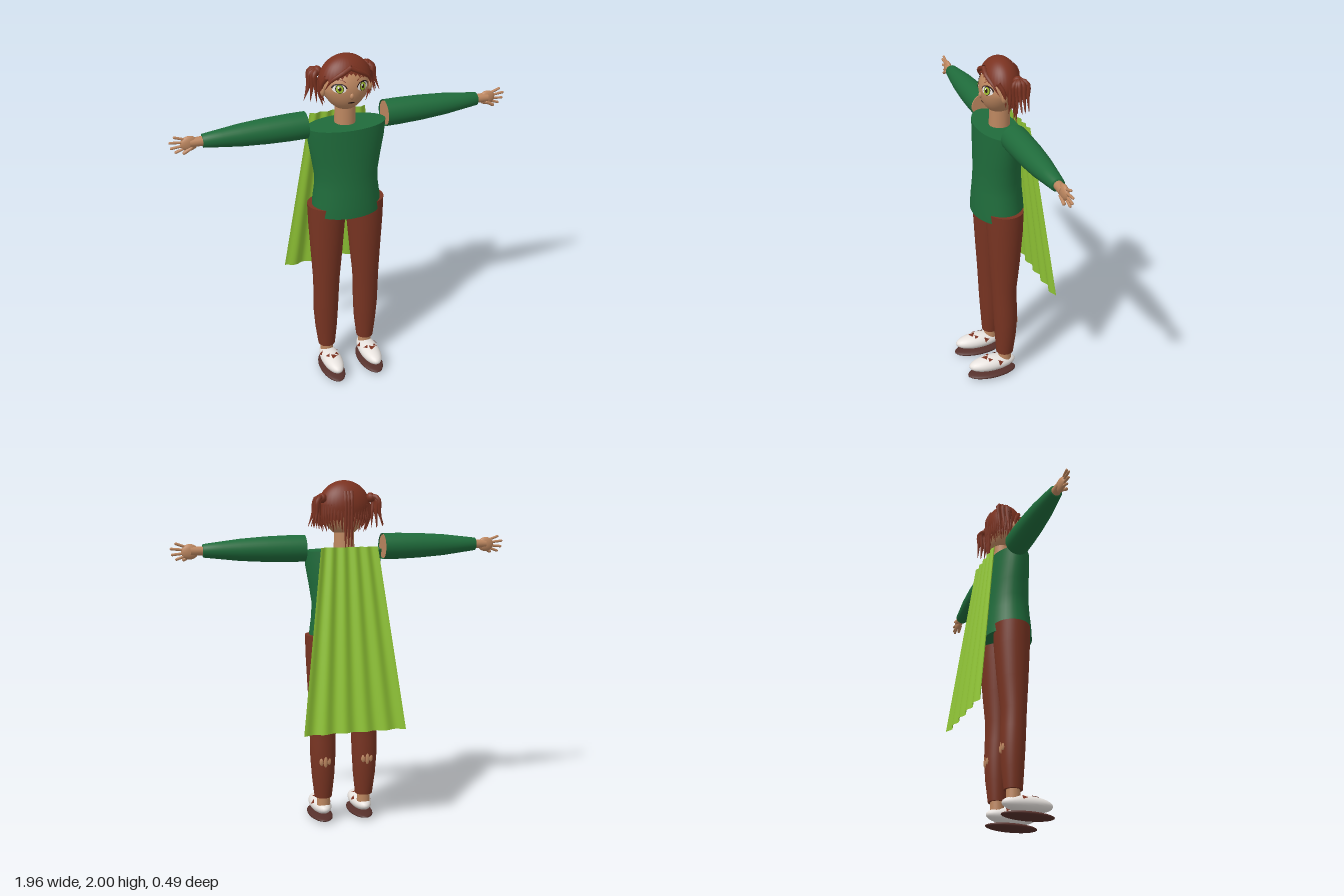
import * as THREE from 'three';

const mat = (name, color, side = THREE.FrontSide) => {
  const m = new THREE.MeshStandardMaterial({ color, side });
  m.name = name;
  return m;
};

export function createModel() {
  const model = new THREE.Group();
  model.name = 'capedFigure';
  const D = THREE.DoubleSide;
  const skin = mat('skin', 0xbd8760), green = mat('shirt green', 0x1f6b3b, D);
  const brown = mat('trouser brown', 0x783422), hairMat = mat('hair auburn', 0x7a3220, D);
  const lime = mat('cape lime', 0x8fc435, D), white = mat('shoe white', 0xe8e3df, D);
  const soleMat = mat('sole brown', 0x55302b), iris = mat('iris green', 0x9dbb2e, D);
  const dark = mat('dark lines', 0x2c1714, D);

  const add = (name, geo, material, x = 0, y = 0, z = 0) => {
    const m = new THREE.Mesh(geo, material);
    m.name = name;
    m.position.set(x, y, z);
    model.add(m);
    return m;
  };
  const ball = (name, material, [x, y, z], [a, b, c], seg = 28) =>
    add(name, new THREE.SphereGeometry(1, seg, Math.ceil(seg * 0.6)).scale(a, b, c), material, x, y, z);

  // Closed body of stacked ellipses; rings run upwards: [y, cx, rx, zBack, zFront]
  const loft = (rings, seg = 40) => {
    const pos = [], idx = [], n = rings.length;
    for (const [y, cx, rx, z0, z1] of rings)
      for (let i = 0; i < seg; i++) {
        const t = (i / seg) * Math.PI * 2;
        pos.push(cx + rx * Math.sin(t), y, (z0 + z1) / 2 + ((z1 - z0) / 2) * Math.cos(t));
      }
    for (let r = 0; r < n - 1; r++)
      for (let i = 0; i < seg; i++) {
        const a = r * seg + i, b = r * seg + (i + 1) % seg;
        idx.push(a, b, b + seg, a, b + seg, a + seg);
      }
    // caps have their own corners so that the rims stay sharp
    for (const r of [0, n - 1]) {
      const start = pos.length / 3;
      for (let i = 0; i < seg * 3; i++) pos.push(pos[r * seg * 3 + i]);
      for (let i = 1; i < seg - 1; i++)
        r ? idx.push(start, start + i, start + i + 1) : idx.push(start, start + i + 1, start + i);
    }
    const g = new THREE.BufferGeometry();
    g.setAttribute('position', new THREE.Float32BufferAttribute(pos, 3));
    g.setIndex(idx);
    g.computeVertexNormals();
    return g;
  };

  // Tapered lock of hair along a curve
  const lock = (name, pts, r) => {
    const curve = new THREE.CatmullRomCurve3(pts.map(p => new THREE.Vector3(...p)));
    const n = 10, radial = 6, g = new THREE.TubeGeometry(curve, n, r, radial);
    const p = g.attributes.position, v = new THREE.Vector3();
    for (let i = 0; i <= n; i++) {
      const c = curve.getPointAt(i / n), k = 1 - 0.95 * (i / n) ** 2;
      for (let j = 0; j <= radial; j++) {
        const id = i * (radial + 1) + j;
        v.fromBufferAttribute(p, id).sub(c).multiplyScalar(k).add(c);
        p.setXYZ(id, v.x, v.y, v.z);
      }
    }
    return add(name, g, hairMat);
  };

  // Shirt
  add('shirt', loft([[1.08, 0, 0.205, -0.135, 0.157], [1.16, 0, 0.198, -0.13, 0.154],
    [1.24, 0, 0.187, -0.122, 0.146], [1.32, 0, 0.186, -0.117, 0.14], [1.42, 0, 0.202, -0.112, 0.137],
    [1.52, 0, 0.22, -0.107, 0.136], [1.61, 0, 0.228, -0.1, 0.134]]), green);
  add('neck', new THREE.CylinderGeometry(0.057, 0.059, 0.14, 28), skin, 0, 1.66, -0.005);

  // Head, narrowing to the chin
  const HY = 1.82, HX = 0.132, HH = 0.132, HZ = 0.106;
  const jaw = y => 1 - 0.22 * Math.max(0, (HY - y) / HH);
  const head = new THREE.SphereGeometry(1, 48, 32).scale(HX, HH, HZ).translate(0, HY, 0);
  const hp = head.attributes.position;
  for (let i = 0; i < hp.count; i++) hp.setX(i, hp.getX(i) * jaw(hp.getY(i)));
  head.computeVertexNormals();
  add('head', head, skin);
  const faceZ = (x, y) =>
    HZ * Math.sqrt(Math.max(0, 1 - (x / HX / jaw(y)) ** 2 - ((y - HY) / HH) ** 2));

  // Thin face detail laid on the head surface
  const decal = (name, material, x, y, rx, ry, lift, inner = 0, start = 0, len = Math.PI * 2) => {
    const g = new THREE.RingGeometry(inner, 1, 28, 4, start, len).scale(rx, ry, 1).translate(x, y, 0);
    const p = g.attributes.position;
    for (let i = 0; i < p.count; i++) p.setZ(i, faceZ(p.getX(i), p.getY(i)) + lift);
    g.computeVertexNormals();
    add(name, g, material);
  };
  ball('nose', skin, [0, 1.797, 0.103], [0.012, 0.017, 0.012], 14);
  decal('mouth', dark, 0, 1.757, 0.02, 0.005, 0.002);
  for (const s of [1, -1]) {
    const x = 0.066 * s;
    decal('eyeWhite', white, x, 1.843, 0.035, 0.024, 0.002);
    decal('irisRim', dark, x, 1.843, 0.021, 0.025, 0.003);
    decal('iris', iris, x, 1.842, 0.018, 0.022, 0.004);
    decal('pupil', dark, x, 1.843, 0.008, 0.011, 0.005);
    decal('eyeGlint', white, x - 0.006, 1.852, 0.005, 0.006, 0.006);
    decal('lashes', dark, x, 1.841, 0.04, 0.031, 0.0045, 0.83, 0.15, Math.PI - 0.3);
    decal('eyebrow', hairMat, x, 1.862, 0.04, 0.03, 0.003, 0.9, 0.5, Math.PI - 1);
    ball('ear', skin, [0.136 * s, 1.815, 0.018], [0.014, 0.03, 0.018], 14);
  }

  // Hair cap: short over the brow, long round the back, with a ragged hem
  const seg = 72, rows = 20, cap = new THREE.PlaneGeometry(1, 1, seg, rows), cp = cap.attributes.position;
  for (let r = 0; r <= rows; r++)
    for (let i = 0; i <= seg; i++) {
      const a = (i / seg) * Math.PI * 2, c = Math.cos(a);
      const back = THREE.MathUtils.smoothstep(-c, -0.42, 0.1);
      const hem = 1.912 - 0.05 * Math.abs(Math.sin(a)) - back * 0.11 + (i % 2 ? 0.014 : 0);
      const th = (r / rows) * Math.PI / 2, total = (2 - hem) / 0.15;
      // rows follow the dome, then hang nearly straight down
      const drop = (1 - Math.cos(th)) * total, d = Math.min(drop, 1);
      const w = Math.sqrt(1 - (1 - d) ** 2) * (1 - 0.12 * Math.max(0, drop - 1));
      cp.setXYZ(r * (seg + 1) + i, 0.15 * w * Math.sin(a), 2 - 0.15 * drop, -0.005 + 0.108 * w * c);
    }
  cap.computeVertexNormals();
  add('hairCap', cap, hairMat);
  for (let i = 0; i < 23; i++) {
    const a = Math.PI / 2 + 0.1 + (i / 22) * (Math.PI - 0.2), x = Math.sin(a), z = Math.cos(a);
    lock('backLock', [[0.147 * x, 1.87, 0.1 * z], [0.146 * x, 1.79, 0.102 * z],
      [0.125 * x, 1.715 + (i % 3) * 0.012, 0.09 * z]], 0.011);
  }
  // Fringe and side bunches
  for (const s of [1, -1]) {
    lock('fringe', [[0, 1.95, 0.083], [0.05 * s, 1.925, 0.09], [0.105 * s, 1.885, 0.072], [0.132 * s, 1.83, 0.045]], 0.014);
    lock('sideLock', [[0.125 * s, 1.9, 0.05], [0.143 * s, 1.85, 0.025], [0.135 * s, 1.76, 0.01]], 0.014);
    ball('bunchTie', hairMat, [0.14 * s, 1.905, -0.055], [0.025, 0.028, 0.03], 14);
    for (let i = 0; i < 7; i++) {
      const z = -0.025 - i * 0.012, o = ((i * 3) % 7) * 0.011;
      lock('bunchLock', [[0.14 * s, 1.915, -0.055], [(0.165 + o * 0.2) * s, 1.9, z],
        [(0.16 + o * 0.5) * s, 1.82, z], [(0.155 + o) * s, 1.735 + o * 0.2, z]], 0.014);
    }
  }
  // Tail hanging at the back
  for (const x of [-0.018, 0, 0.018])
    lock('tail', [[x, 1.94, -0.085], [x, 1.9, -0.1], [x, 1.75, -0.1], [x, 1.61, -0.098]], 0.014);

  for (const s of [1, -1]) {
    // Sleeve, open at the shoulder, with the arm inside
    const tube = pts => new THREE.LatheGeometry(pts.map(p => new THREE.Vector2(...p)), 32).rotateZ(-s * Math.PI / 2);
    add('sleeve', tube([[0.075, 0.23], [0.075, 0.32], [0.071, 0.45], [0.061, 0.6], [0.049, 0.7], [0.037, 0.8], [0.02, 0.803]]),
      green, 0, 1.625, 0);
    add('armEnd', new THREE.CylinderGeometry(0.068, 0.068, 0.02, 32).rotateZ(Math.PI / 2), skin, 0.244 * s, 1.625, 0);

    // Hand with spread fingers
    add('wrist', new THREE.CylinderGeometry(0.024, 0.027, 0.08, 18).rotateZ(Math.PI / 2), skin, 0.83 * s, 1.625, 0);
    ball('palm', skin, [0.872 * s, 1.622, 0], [0.048, 0.042, 0.02], 22);
    const finger = (name, x, y, z, len, angle, r) => {
      const m = add(name, new THREE.CapsuleGeometry(r, len, 4, 8).translate(0, len / 2, 0), skin, x * s, y, z);
      m.rotation.z = -s * (Math.PI / 2 - angle);
      return m;
    };
    [[0.028, 0.05, 0.34], [0.01, 0.073, 0.1], [-0.008, 0.068, -0.1], [-0.024, 0.048, -0.34]].forEach(([dy, len, a]) =>
      finger('finger', 0.9, 1.622 + dy, 0, len, a, 0.0075));
    finger('thumb', 0.865, 1.6, 0.014, 0.045, -0.5, 0.01);

    // Trouser leg
    add('trouserLeg', loft([[0.155, 0.125, 0.051, -0.043, 0.06], [0.28, 0.126, 0.066, -0.058, 0.068],
      [0.4, 0.127, 0.074, -0.065, 0.075], [0.5, 0.126, 0.076, -0.062, 0.08], [0.62, 0.124, 0.079, -0.06, 0.086],
      [0.8, 0.12, 0.092, -0.08, 0.098], [1.0, 0.117, 0.106, -0.096, 0.109], [1.13, 0.114, 0.113, -0.1, 0.111]]
      .map(([y, cx, ...r]) => [y, cx * s, ...r])), brown);
    // Torn patches showing the calf
    for (const [dx, h] of [[-0.02, 0.024], [0, 0.038], [0.022, 0.026]]) {
      const x = 0.127 * s + dx;
      ball('calfPatch', skin, [x, 0.385, -0.06 + Math.abs(dx) * 0.15], [0.015, h, 0.008], 8);
    }

    // Ankle and shoe
    const fx = 0.124 * s;
    add('ankle', new THREE.CylinderGeometry(0.038, 0.04, 0.1, 22), skin, fx, 0.12, 0.008);
    ball('shoe', white, [fx, 0.083, 0.09], [0.06, 0.046, 0.147]);
    ball('sole', soleMat, [fx, 0.02, 0.092], [0.07, 0.02, 0.153]);
    for (const [x, y, z, r] of [[0.85, 0.5, -0.25, 0.02], [-0.85, 0.5, -0.25, 0.02], [0, 1, 0.3, 0.024], [0.45, 0.9, 0.15, 0.017], [-0.45, 0.9, 0.15, 0.017]]) {
      const d = new THREE.Vector3(x, y, z).normalize();
      const m = add('shoePatch', new THREE.CircleGeometry(r, 3), hairMat, fx + d.x * 0.063, 0.083 + d.y * 0.049, 0.09 + d.z * 0.15);
      m.lookAt(m.position.clone().add(new THREE.Vector3(d.x / 0.06, d.y / 0.046, d.z / 0.147)));
    }
  }

  // Pleated cape, wider and further back towards the hem
  const cape = new THREE.PlaneGeometry(1, 1, 60, 8), kp = cape.attributes.position;
  for (let i = 0; i < kp.count; i++) {
    const u = kp.getX(i) * 2, t = 0.5 - kp.getY(i);
    const wave = Math.cos(u * Math.PI * 5) * (0.007 + 0.003 * t);
    kp.setXYZ(i, u * (0.165 + 0.135 * t), 1.635 - 1.035 * t, -0.113 - 0.122 * t + wave);
  }
  cape.computeVertexNormals();
  add('cape', cape, lime);

  return model;
}
